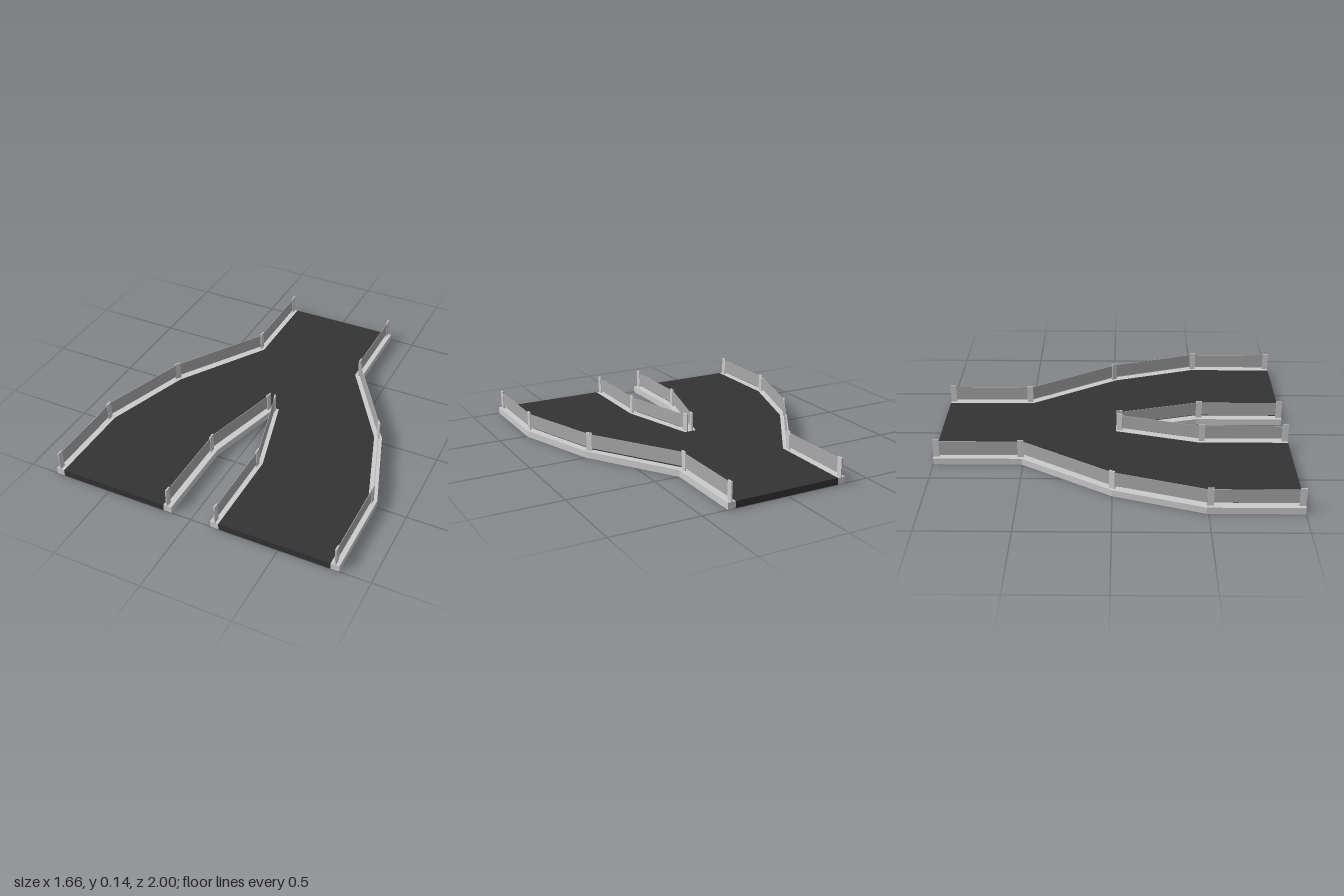
import * as THREE from 'three';

const DECK_H = 0.038;
const grey = new THREE.MeshStandardMaterial({ color: 0xcccccc });
const panelGrey = new THREE.MeshStandardMaterial({ color: 0xa8a8a8 });
const asphalt = new THREE.MeshStandardMaterial({ color: 0x333333 });

// Plan points are [x, z]
const mirror = (pts) => pts.map(([x, z]) => [-x, z]);
const reversed = (pts) => [...pts].reverse();

// Extrudes a plan outline from the ground up to the deck height
function slab(name, outline, material) {
  const shape = new THREE.Shape(outline.map(([x, z]) => new THREE.Vector2(x, z)));
  const geo = new THREE.ExtrudeGeometry(shape, { depth: DECK_H, bevelEnabled: false });
  geo.rotateX(Math.PI / 2).translate(0, DECK_H, 0);
  const mesh = new THREE.Mesh(geo, material);
  mesh.name = name;
  return mesh;
}

// Upright thin board from plan point a to plan point b
function board(name, a, b, y0, y1, thickness, material) {
  const dx = b[0] - a[0], dz = b[1] - a[1];
  const mesh = new THREE.Mesh(new THREE.BoxGeometry(thickness, y1 - y0, Math.hypot(dx, dz)), material);
  mesh.position.set((a[0] + b[0]) / 2, (y0 + y1) / 2, (a[1] + b[1]) / 2);
  mesh.rotation.y = Math.atan2(dx, dz);
  mesh.name = name;
  return mesh;
}

// Panels between path points, plus posts given as [x, z, dirX, dirZ]
function railing(name, path, posts) {
  const group = new THREE.Group();
  group.name = name;
  for (let i = 1; i < path.length; i++) {
    group.add(board('railPanel', path[i - 1], path[i], 0.055, 0.135, 0.003, panelGrey));
  }
  for (const [x, z, dx, dz] of posts) {
    const k = 0.0175 / Math.hypot(dx, dz);
    group.add(board('railPost', [x - dx * k, z - dz * k], [x + dx * k, z + dz * k], DECK_H, 0.144, 0.008, grey));
  }
  return group;
}

export function createModel() {
  const model = new THREE.Group();
  model.name = 'forkedRoad';

  // Plan edges of the outer kerb and of the kerb around the fork, left half
  const outerEdge = [[0.355, -1], [0.355, -0.506], [0.672, 0], [0.832, 0.488], [0.832, 1]];
  const roadEdge = [[0.31, -1], [0.31, -0.494], [0.629, 0.01], [0.785, 0.497], [0.785, 1]];
  const forkRoadEdge = [[0.162, 1], [0.162, 0.485], [0.036, 0.015]];
  const forkGapEdge = [[0.115, 1], [0.115, 0.492], [0, 0.058]];

  // Road surface
  model.add(slab('roadDeck', [
    ...roadEdge, ...forkRoadEdge,
    ...reversed(mirror(forkRoadEdge)), ...reversed(mirror(roadEdge)),
  ], asphalt));

  // Fork kerb, one V-shaped piece
  model.add(slab('forkKerb', [
    ...forkRoadEdge, ...reversed(mirror(forkRoadEdge)),
    ...mirror(forkGapEdge), ...reversed(forkGapEdge.slice(0, 2)),
  ], grey));

  // Outer kerbs and all railings, mirrored
  const outerPath = [[0.332, -1], [0.332, -0.5], [0.65, 0], [0.809, 0.49], [0.809, 1]];
  const outerPosts = [
    [0.332, -0.982, 0, 1], [0.332, -0.512, 0, 1], [0.648, 0, 0.32, 0.5],
    [0.809, 0.508, 0, 1], [0.809, 0.982, 0, 1],
  ];
  const forkPath = [[0.141, 1], [0.141, 0.49], [0.015, 0.02]];
  const forkPosts = [[0.141, 0.982, 0, 1], [0.141, 0.507, 0, 1], [0.0195, 0.036, 0.126, 0.47]];
  for (const side of [1, -1]) {
    const label = side > 0 ? 'left' : 'right';
    const flip = (pts) => (side > 0 ? pts : mirror(pts));
    const flipPosts = (posts) => posts.map(([x, z, dx, dz]) => [side * x, z, side * dx, dz]);
    model.add(slab(label + 'OuterKerb', flip([...outerEdge, ...reversed(roadEdge)]), grey));
    model.add(railing(label + 'OuterRailing', flip(outerPath), flipPosts(outerPosts)));
    model.add(railing(label + 'ForkRailing', flip(forkPath), flipPosts(forkPosts)));
  }
  return model;
}
